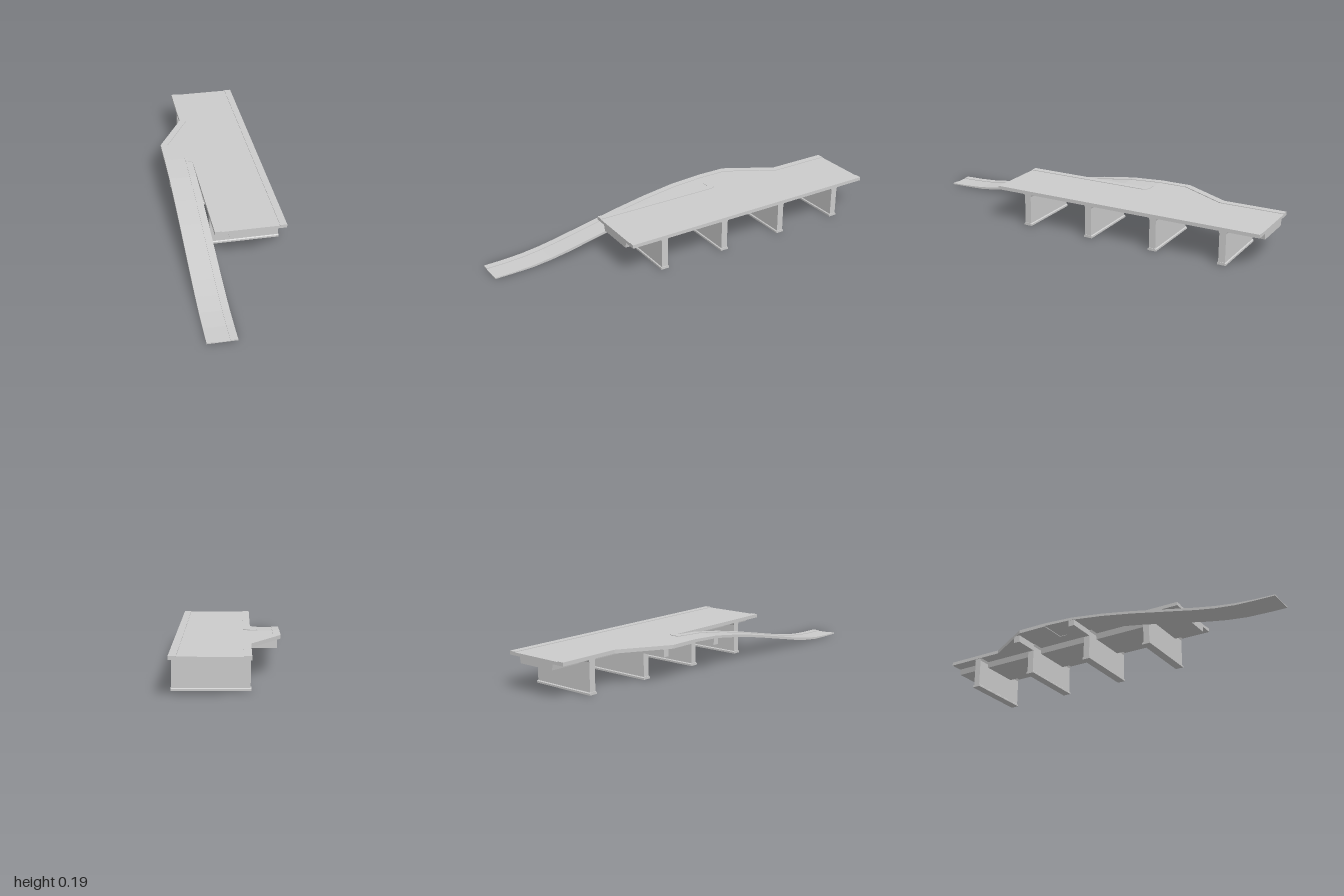
import * as THREE from 'three';

const material = new THREE.MeshStandardMaterial({ color: 0xcccccc, flatShading: true });

function addMesh(parent, name, geometry) {
  const mesh = new THREE.Mesh(geometry, material);
  mesh.name = name;
  parent.add(mesh);
  return mesh;
}

// Flat plate from a plan outline of [x, z] points, between two heights.
function plan(points, y0, y1) {
  const shape = new THREE.Shape(points.map(([x, z]) => new THREE.Vector2(x, -z)));
  return new THREE.ExtrudeGeometry(shape, { depth: y1 - y0, bevelEnabled: false })
    .rotateX(-Math.PI / 2).translate(0, y0, 0);
}

// Solid from a side outline of [z, y] points, between two x positions.
function side(points, x0, x1) {
  const shape = new THREE.Shape(points.map(([z, y]) => new THREE.Vector2(-z, y)));
  return new THREE.ExtrudeGeometry(shape, { depth: x1 - x0, bevelEnabled: false })
    .rotateY(Math.PI / 2).translate(x0, 0, 0);
}

export function createModel() {
  const model = new THREE.Group();
  model.name = 'overpassWithRamp';
  const back = -1, front = 0.43, left = 0.25, right = -0.25, joint = -0.107;
  const curb = 0.035, slabBottom = 0.167, road = 0.182, curbTop = 0.185;
  const rampStart = -0.27, noseZ = -0.235;

  // Road slab, widening towards the ramp
  addMesh(model, 'deckSlab', plan([
    [joint, back], [left, back], [left, front], [joint, front],
    [joint, rampStart], [right, rampStart], [right, -0.43], [joint, -0.68],
  ], slabBottom, road));

  // Tapered girder under the slab
  const girder = new THREE.Shape([[-0.04, slabBottom], [-0.033, 0.137], [0.175, 0.137], [0.181, slabBottom]]
    .map(([x, y]) => new THREE.Vector2(x, y)));
  addMesh(model, 'girder', new THREE.ExtrudeGeometry(girder, { depth: front - back, bevelEnabled: false })
    .translate(0, 0, back));

  // Raised edges of the deck
  addMesh(model, 'leftCurb', plan([[left - curb, back], [left, back], [left, front], [left - curb, front]], road, curbTop));
  addMesh(model, 'rightCurb', plan([
    [joint, back], [joint + curb, back], [joint + curb, -0.67], [right + curb, -0.42],
    [right + curb, rampStart], [right, rampStart], [right, -0.43], [joint, -0.68],
  ], road, curbTop));

  // Divider curb on the deck side with a rounded nose
  const nose = [];
  for (let i = 0; i <= 10; i++) {
    const a = Math.PI * i / 10;
    nose.push([joint + curb * Math.cos(a), noseZ - curb * Math.sin(a)]);
  }
  addMesh(model, 'dividerNose', plan(nose, road, curbTop));
  addMesh(model, 'dividerCurb', plan([[joint, noseZ], [joint + curb, noseZ], [joint + curb, front], [joint, front]], road, curbTop));

  // Descending ramp: [z, curb top, underside]
  const profile = [
    [1, 0.006, 0], [0.9, 0.008, 0.001], [0.8, 0.014, 0.004], [0.7, 0.027, 0.015],
    [0.6, 0.045, 0.032], [0.25, 0.119, 0.106], [0.08, 0.15, 0.137],
    [-0.1, 0.175, 0.162], [rampStart, curbTop, 0.17],
  ];
  const rampOutline = (drop) => [
    ...profile.map(([z, top]) => [z, top - drop]),
    ...profile.map(([z, , bottom]) => [z, bottom]).reverse(),
  ];
  const ramp = new THREE.Group();
  ramp.name = 'ramp';
  model.add(ramp);
  addMesh(ramp, 'rampLane', side(rampOutline(0.003), right + curb, joint - curb));
  addMesh(ramp, 'rampOuterCurb', side(rampOutline(0), right, right + curb));
  addMesh(ramp, 'rampInnerCurb', side(rampOutline(0), joint - curb, joint));

  // Wall piers with a footing and flared head; the middle two carry arms under the ramp
  [[0.25, 0], [-0.105, -0.248], [-0.46, -0.232], [-0.82, 0]].forEach(([z, armEnd]) => {
    const pier = new THREE.Group();
    pier.name = 'pier';
    pier.position.z = z;
    model.add(pier);
    addMesh(pier, 'pierWall', side([
      [-0.017, 0.01], [0.017, 0.01], [0.017, 0.155], [0.022, slabBottom], [-0.022, slabBottom], [-0.017, 0.155],
    ], -0.103, 0.247));
    addMesh(pier, 'pierFooting', side([
      [-0.022, 0], [0.022, 0], [0.022, 0.009], [0.017, 0.013], [-0.017, 0.013], [-0.022, 0.009],
    ], joint, left));
    if (armEnd) {
      addMesh(pier, 'pierArm', side([[-0.017, 0.13], [0.017, 0.13], [0.017, slabBottom], [-0.017, slabBottom]], armEnd, -0.103));
    }
  });

  return model;
}
